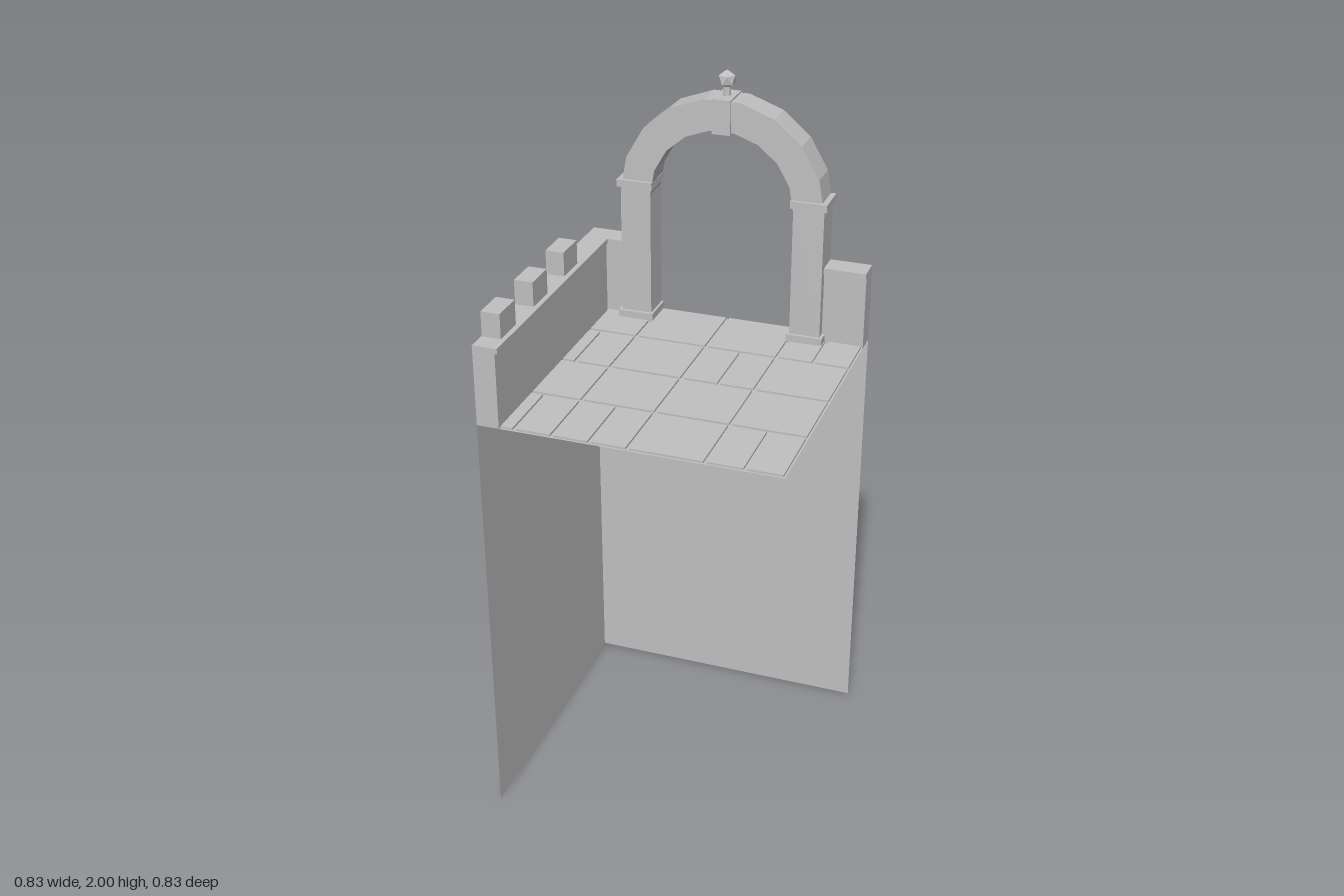
import * as THREE from 'three';

const stone = new THREE.MeshStandardMaterial({ color: 0xc0c0c0, side: THREE.DoubleSide, flatShading: true });
stone.name = 'grey stone';

const HALF = 0.415;   // half width of the tower
const FLOOR = 1.252;  // top of the floor tiles
const BED = 1.246;    // bottom of the grooves between tiles

function add(parent, name, geometry) {
  const mesh = new THREE.Mesh(geometry, stone);
  mesh.name = name;
  parent.add(mesh);
  return mesh;
}

// Box given by its limits on each axis
function block(parent, name, [x0, x1], [y0, y1], [z0, z1]) {
  const mesh = add(parent, name, new THREE.BoxGeometry(x1 - x0, y1 - y0, z1 - z0));
  mesh.position.set((x0 + x1) / 2, (y0 + y1) / 2, (z0 + z1) / 2);
  return mesh;
}

// Two open sheets below the terrace
function buildLowerWalls(model) {
  const back = add(model, 'backWall', new THREE.PlaneGeometry(2 * HALF, BED));
  back.position.set(0, BED / 2, -HALF);
  back.rotation.y = Math.PI;
  const side = add(model, 'sideWall', new THREE.PlaneGeometry(2 * HALF, BED));
  side.position.set(-HALF, BED / 2, 0);
  side.rotation.y = -Math.PI / 2;
}

// Paving: four rows of slabs with narrow grooves
function buildFloor(model) {
  const floor = new THREE.Group();
  floor.name = 'floor';
  model.add(floor);
  const bed = add(floor, 'floorBed', new THREE.PlaneGeometry(2 * HALF, 2 * HALF));
  bed.rotation.x = -Math.PI / 2;
  bed.position.y = BED;
  const rows = [
    { z: [-HALF, -0.208], joints: [-0.208, -0.001, 0.206, 0.311] },
    { z: [-0.208, -0.001], joints: [-0.312, -0.208, -0.001, 0.104, 0.206] },
    { z: [-0.001, 0.206], joints: [-0.208, -0.001, 0.206] },
    { z: [0.206, HALF], joints: [-0.312, -0.208, -0.105, -0.001, 0.206, 0.311] },
  ];
  const gap = 0.005;
  for (const { z, joints } of rows) {
    const edges = [-0.355, ...joints, HALF];
    for (let i = 0; i < edges.length - 1; i++) {
      block(floor, 'floorSlab', [edges[i] + gap, edges[i + 1] - gap], [BED, FLOOR],
        [z[0] + gap, z[1] - gap]);
    }
  }
}

// Low walls with a slightly projecting coping, and merlons on the side
function buildParapets(model) {
  const body = [BED, 1.46], top = [1.46, 1.475];
  block(model, 'sideParapet', [-HALF, -0.353], body, [-HALF, HALF]);
  block(model, 'sideCoping', [-HALF, -0.346], top, [-HALF, HALF]);
  for (const [x0, x1] of [[-0.353, -0.285], [0.285, HALF]]) {
    block(model, 'backParapet', [x0, x1], body, [-HALF, -0.353]);
    block(model, 'backCoping', [x0, x1], top, [-HALF, -0.346]);
  }
  for (const z of [-0.106, 0.104, 0.312]) {
    block(model, 'merlon', [-0.413, -0.36], [1.475, 1.545], [z - 0.047, z + 0.047]);
  }
}

// Pillars and a nine-sided round arch as one extruded outline
function buildArch(model) {
  const arch = new THREE.Group();
  arch.name = 'archway';
  model.add(arch);
  const outer = 0.295, inner = 0.207, spring = 1.635, sides = 9;
  const arc = (r) => Array.from({ length: sides + 1 }, (_, i) => {
    const a = (i / sides) * Math.PI;
    return new THREE.Vector2(r * Math.cos(a), spring + r * Math.sin(a));
  });
  const outline = [
    new THREE.Vector2(outer, BED), ...arc(outer), new THREE.Vector2(-outer, BED),
    new THREE.Vector2(-inner, BED), ...arc(inner).reverse(), new THREE.Vector2(inner, BED),
  ];
  const ring = add(arch, 'archRing', new THREE.ExtrudeGeometry(new THREE.Shape(outline),
    { depth: 0.087, bevelEnabled: false }));
  ring.position.z = -0.414;

  // Pillar bases and capitals
  for (const s of [-1, 1]) {
    const x = s < 0 ? [-0.304, -0.2] : [0.2, 0.304];
    block(arch, 'pillarBase', x, [BED, 1.273], [-HALF, -0.317]);
    block(arch, 'pillarCapital', x, [1.65, 1.671], [-HALF, -0.317]);
  }

  block(arch, 'keystone', [-0.026, 0.026], [1.833, 1.93], [-0.417, -0.321]);

  // Finial on a short neck
  const neck = add(arch, 'finialNeck', new THREE.CylinderGeometry(0.009, 0.012, 0.03, 6));
  neck.position.set(0, 1.942, -0.369);
  const ball = new THREE.IcosahedronGeometry(0.026, 0);
  ball.rotateZ(-Math.atan(2 / (1 + Math.sqrt(5))));
  add(arch, 'finialBall', ball).position.set(0, 1.974, -0.369);
}

export function createModel() {
  const model = new THREE.Group();
  model.name = 'towerTerrace';
  buildLowerWalls(model);
  buildFloor(model);
  buildParapets(model);
  buildArch(model);
  return model;
}
